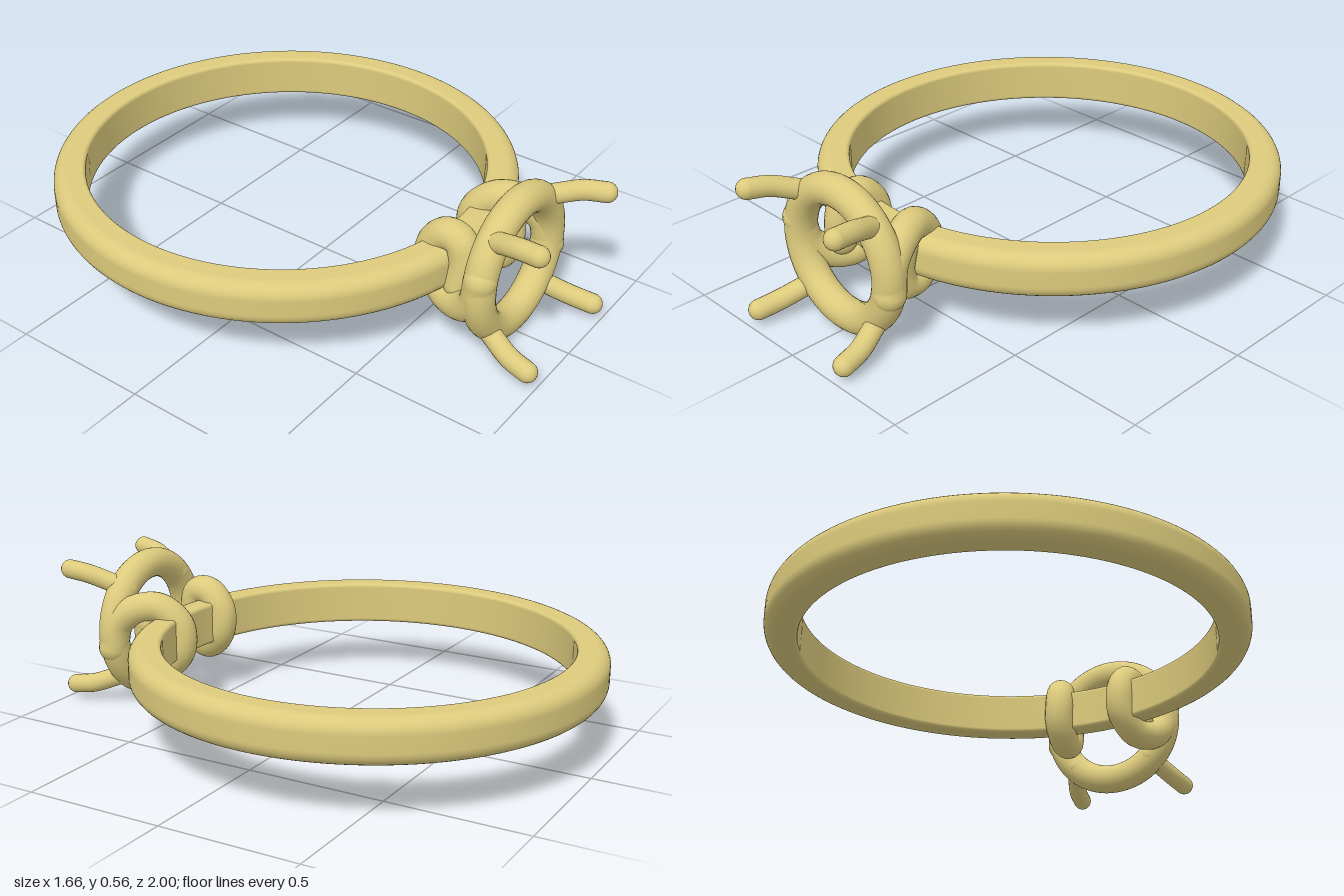
import * as THREE from 'three';

const MID = 0.283; // height of the band's centre line
const gold = new THREE.MeshStandardMaterial({ color: 0xdcca7c });

function addMesh(parent, name, geometry) {
  const mesh = new THREE.Mesh(geometry, gold);
  mesh.name = name;
  parent.add(mesh);
  return mesh;
}

// Round wire through points, closed with domed ends
function wire(name, points, radius, segments) {
  const group = new THREE.Group();
  group.name = name;
  const pts = points.map((p) => new THREE.Vector3(...p));
  addMesh(group, name + 'Wire', new THREE.TubeGeometry(new THREE.CatmullRomCurve3(pts), segments, radius, 20));
  for (const end of [pts[0], pts[pts.length - 1]]) {
    addMesh(group, name + 'End', new THREE.SphereGeometry(radius, 20, 14)).position.copy(end);
  }
  return group;
}

// Band section: softly rounded outside, crisper inside
function bandGeometry() {
  const inner = 0.715, outer = 0.829, half = 0.078, ro = 0.05, ri = 0.014;
  const section = [new THREE.Vector2(inner, 0)];
  const corner = (x, y, r, start) => {
    for (let i = 0; i <= 8; i++) {
      const a = start + (i / 8) * Math.PI / 2;
      section.push(new THREE.Vector2(x + r * Math.cos(a), y + r * Math.sin(a)));
    }
  };
  corner(inner + ri, -half + ri, ri, Math.PI);
  corner(outer - ro, -half + ro, ro, -Math.PI / 2);
  corner(outer - ro, half - ro, ro, 0);
  corner(inner + ri, half - ri, ri, Math.PI / 2);
  section.push(new THREE.Vector2(inner, 0));
  return new THREE.LatheGeometry(section, 144);
}

export function createModel() {
  const ring = new THREE.Group();
  ring.name = 'ring';

  addMesh(ring, 'band', bandGeometry()).position.set(0, MID, -0.171);

  // Setting is built around y = 0, then raised to the band's height
  const setting = new THREE.Group();
  setting.name = 'setting';
  setting.position.y = MID;
  ring.add(setting);

  addMesh(setting, 'bezelRing', new THREE.TorusGeometry(0.223, 0.055, 24, 80)).position.z = 0.772;

  // Wires leaving the bezel and wrapping the band, the second a half turn of the first
  const wrapPath = [
    [0.225, -0.05, 0.775], [0.215, 0.045, 0.755], [0.19, 0.1, 0.69], [0.155, 0.108, 0.61],
    [0.13, 0.045, 0.542], [0.13, -0.045, 0.538], [0.133, -0.105, 0.59], [0.138, -0.1, 0.645],
    [0.142, -0.04, 0.667], [0.155, 0.05, 0.662],
  ];
  ['leftWrap', 'rightWrap'].forEach((name, i) => {
    const wrap = wire(name, wrapPath, 0.055, 80);
    wrap.rotation.z = i * Math.PI;
    setting.add(wrap);
  });

  // Four claws curving outward, then forward
  for (const sx of [1, -1]) {
    for (const sy of [1, -1]) {
      const path = [[0.155, 0.16, 0.75], [0.178, 0.183, 0.81], [0.207, 0.212, 0.89], [0.222, 0.224, 0.965]];
      setting.add(wire('claw', path.map(([x, y, z]) => [sx * x, sy * y, z]), 0.035, 24));
    }
  }
  return ring;
}
